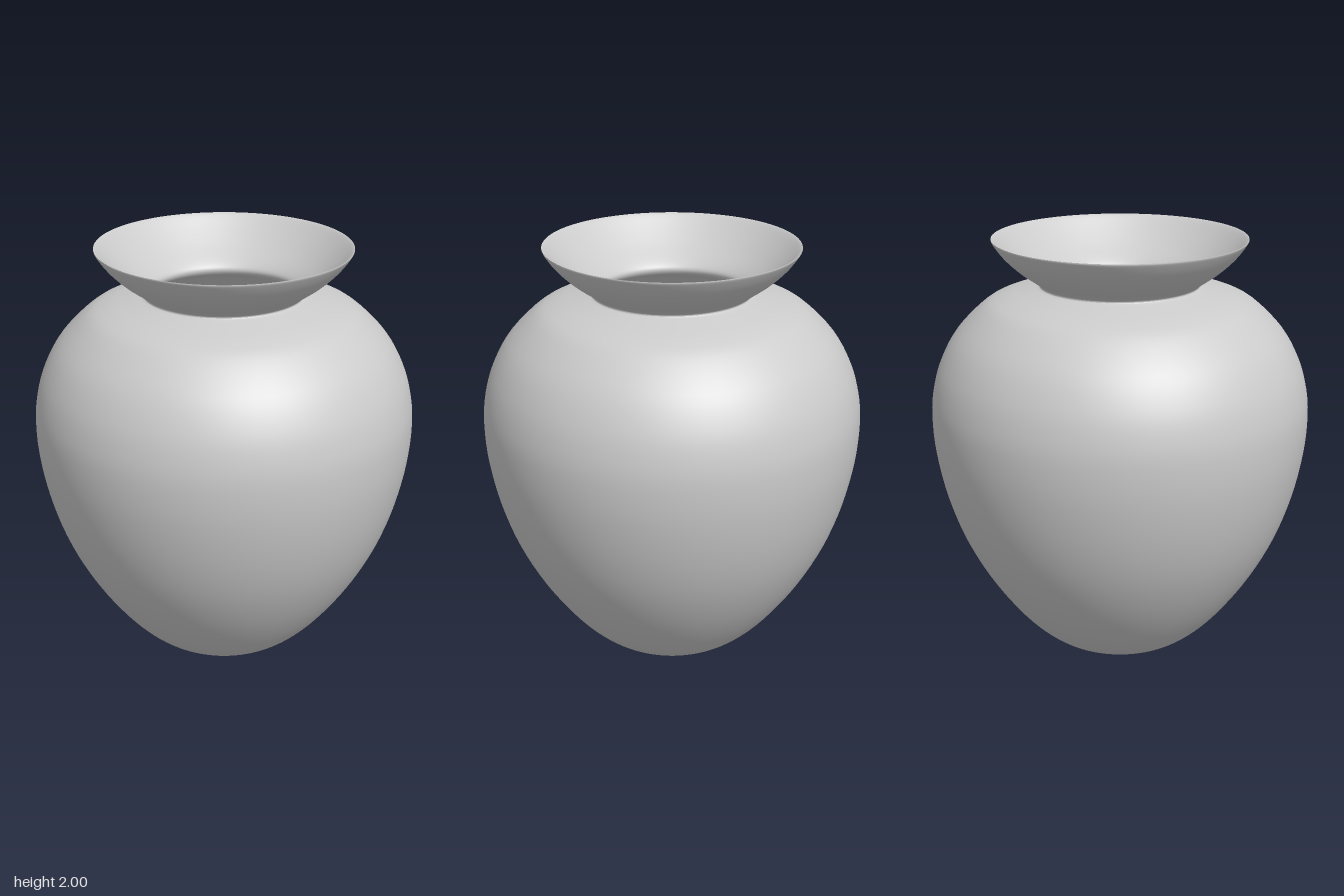
import * as THREE from 'three';

const SEGMENTS = 96;
const v = ([x, y]) => new THREE.Vector2(x, y);
const spline = (pts, n) => new THREE.SplineCurve(pts.map(v)).getPoints(n)
  .map((p) => new THREE.Vector2(Math.max(p.x, 0), Math.max(p.y, 0)));

// Revolves a profile; material is double sided because the vase is open
function lathe(name, points, material) {
  const mesh = new THREE.Mesh(new THREE.LatheGeometry(points, SEGMENTS), material);
  mesh.name = name;
  return mesh;
}

export function createModel() {
  const group = new THREE.Group();
  group.name = 'vase';
  const material = new THREE.MeshStandardMaterial({ color: 0xcccccc, side: THREE.DoubleSide });

  // Rounded outer body, from the middle of the base up to the neck
  const body = spline([
    [0, 0.005], [0.11, 0.01], [0.22, 0.028], [0.327, 0.073], [0.433, 0.155], [0.54, 0.275],
    [0.654, 0.44], [0.75, 0.625], [0.818, 0.82], [0.86, 1.02], [0.872, 1.19], [0.86, 1.315],
    [0.823, 1.44], [0.75, 1.57], [0.63, 1.69], [0.54, 1.735], [0.44, 1.762], [0.375, 1.778], [0.365, 1.785],
  ], 72);
  body[0].y = 0;
  group.add(lathe('body', body, material));

  // Flared outer collar with a thin lip
  const collar = spline([
    [0.365, 1.785], [0.375, 1.8], [0.46, 1.86], [0.53, 1.925], [0.575, 1.985], [0.58, 2],
  ], 24);
  group.add(lathe('collar', collar, material));

  // Inside of the collar, from the lip down to the narrow throat
  const funnel = spline([
    [0.58, 2], [0.565, 1.99], [0.51, 1.938], [0.44, 1.878], [0.36, 1.818], [0.336, 1.788],
    [0.345, 1.762], [0.365, 1.75],
  ], 28);
  group.add(lathe('collarInside', funnel, material));

  // Hollow inside of the body, one wall thickness in
  const hollow = spline([
    [0.365, 1.75], [0.44, 1.732], [0.53, 1.705], [0.615, 1.664], [0.727, 1.55], [0.795, 1.43],
    [0.83, 1.31], [0.842, 1.19], [0.83, 1.025], [0.789, 0.83], [0.723, 0.64], [0.628, 0.458],
    [0.517, 0.296], [0.414, 0.18], [0.313, 0.1], [0.212, 0.057], [0.11, 0.04], [0, 0.035],
  ], 64);
  group.add(lathe('bodyInside', hollow, material));

  return group;
}
